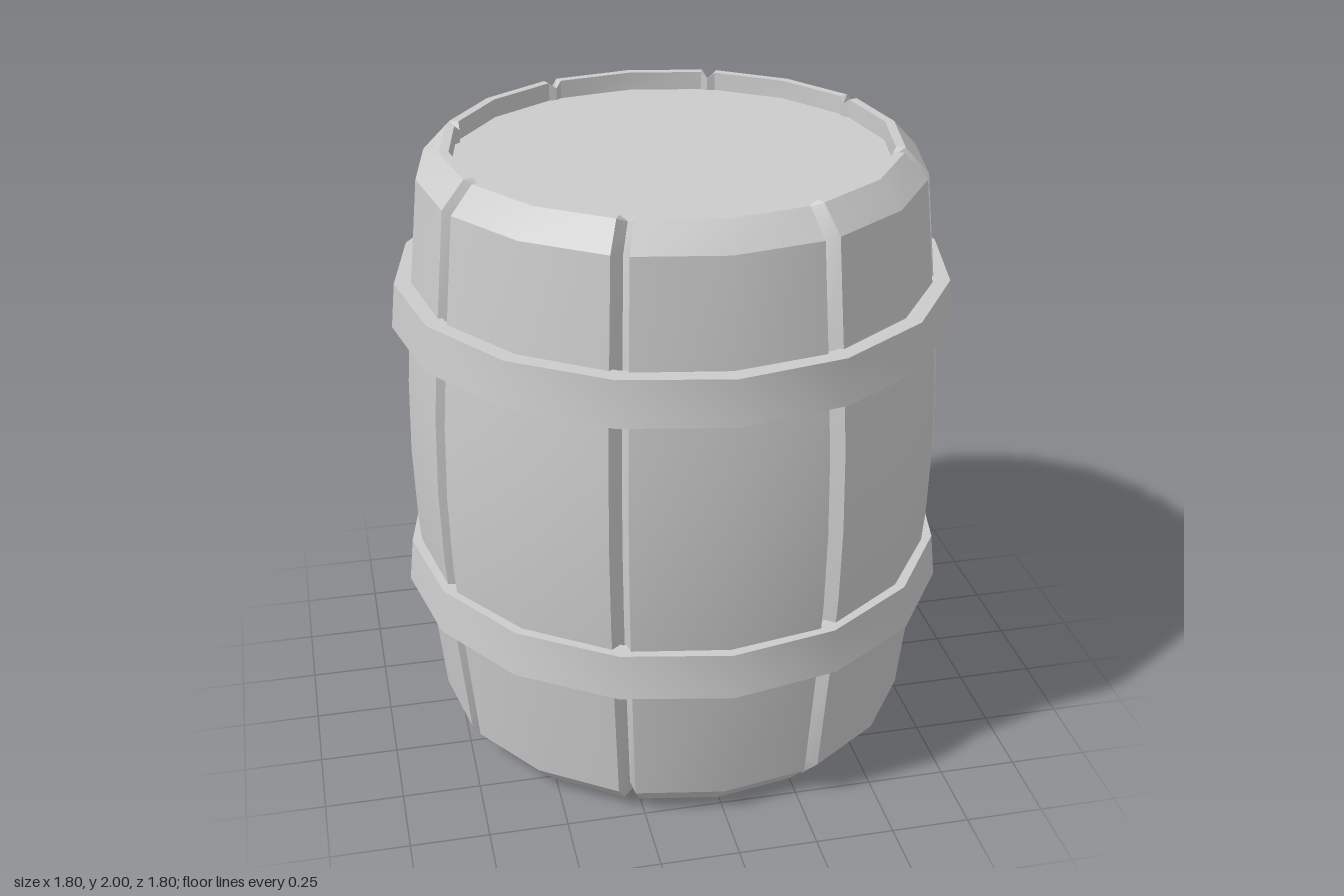
import * as THREE from 'three';
import { toCreasedNormals } from 'three/addons/utils/BufferGeometryUtils.js';

const STAVES = 8;
const SIDES = STAVES * 2;
const GROOVE = THREE.MathUtils.degToRad(1.95); // half width of the groove between staves

const material = new THREE.MeshStandardMaterial({ color: 0xcccccc });

function addMesh(group, name, geometry, y = 0) {
  const mesh = new THREE.Mesh(geometry, material);
  mesh.name = name;
  mesh.position.y = y;
  group.add(mesh);
}

// Bulging wall of staves: rows of [radius, y, groove radius, groove y], from the inside
// of the bottom rim, up the outside, to the inside of the top rim.
function staveGeometry() {
  const rows = [
    [0.69, 0.07, 0.68, 0.07],
    [0.69, 0, 0.68, 0.02],
    [0.72, 0, 0.685, 0.02],
    [0.795, 0.08, 0.75, 0.09],
    [0.838, 0.5, 0.79, 0.5],
    [0.858, 0.75, 0.808, 0.75],
    [0.865, 1, 0.815, 1],
    [0.858, 1.25, 0.808, 1.25],
    [0.838, 1.5, 0.79, 1.5],
    [0.795, 1.92, 0.75, 1.91],
    [0.72, 2, 0.685, 1.98],
    [0.69, 2, 0.68, 1.98],
    [0.69, 1.93, 0.68, 1.93],
  ];
  const step = (Math.PI * 2) / STAVES;
  const columns = STAVES * 4;
  const positions = [];
  const index = [];

  rows.forEach(([r, y, grooveR, grooveY], row) => {
    for (let s = 0; s < STAVES; s++) {
      const mid = s * step;
      const half = step / 2;
      // left edge, middle and right edge of a stave, then the groove bottom
      [-half + GROOVE, 0, half - GROOVE, half].forEach((offset, k) => {
        const radius = k === 3 ? grooveR : r;
        const a = mid + offset;
        positions.push(Math.sin(a) * radius, k === 3 ? grooveY : y, Math.cos(a) * radius);
      });
    }
    if (row === 0) return;
    for (let c = 0; c < columns; c++) {
      const next = (c + 1) % columns;
      const a = (row - 1) * columns + c;
      const b = (row - 1) * columns + next;
      const d = row * columns + c;
      const e = row * columns + next;
      index.push(a, b, e, a, e, d);
    }
  });

  const geometry = new THREE.BufferGeometry();
  geometry.setAttribute('position', new THREE.Float32BufferAttribute(positions, 3));
  geometry.setIndex(index);
  return toCreasedNormals(geometry, 0.55);
}

// Slightly conical band, wider at its lower edge
function hoopGeometry() {
  const profile = [
    [0.82, 0], [0.898, 0], [0.883, 0.145], [0.82, 0.145], [0.82, 0],
  ].map(([r, y]) => new THREE.Vector2(r, y));
  return toCreasedNormals(new THREE.LatheGeometry(profile, SIDES), 0.55);
}

export function createModel() {
  const barrel = new THREE.Group();
  barrel.name = 'barrel';

  addMesh(barrel, 'staves', staveGeometry());

  // Lids set just inside the rims
  const lid = new THREE.CircleGeometry(0.695, SIDES);
  addMesh(barrel, 'topLid', lid.clone().rotateX(-Math.PI / 2), 1.94);
  addMesh(barrel, 'bottomLid', lid.clone().rotateX(Math.PI / 2), 0.02);

  // Two matching hoops
  const hoop = hoopGeometry();
  addMesh(barrel, 'lowerHoop', hoop, 0.515);
  addMesh(barrel, 'upperHoop', hoop, 1.44);

  return barrel;
}
